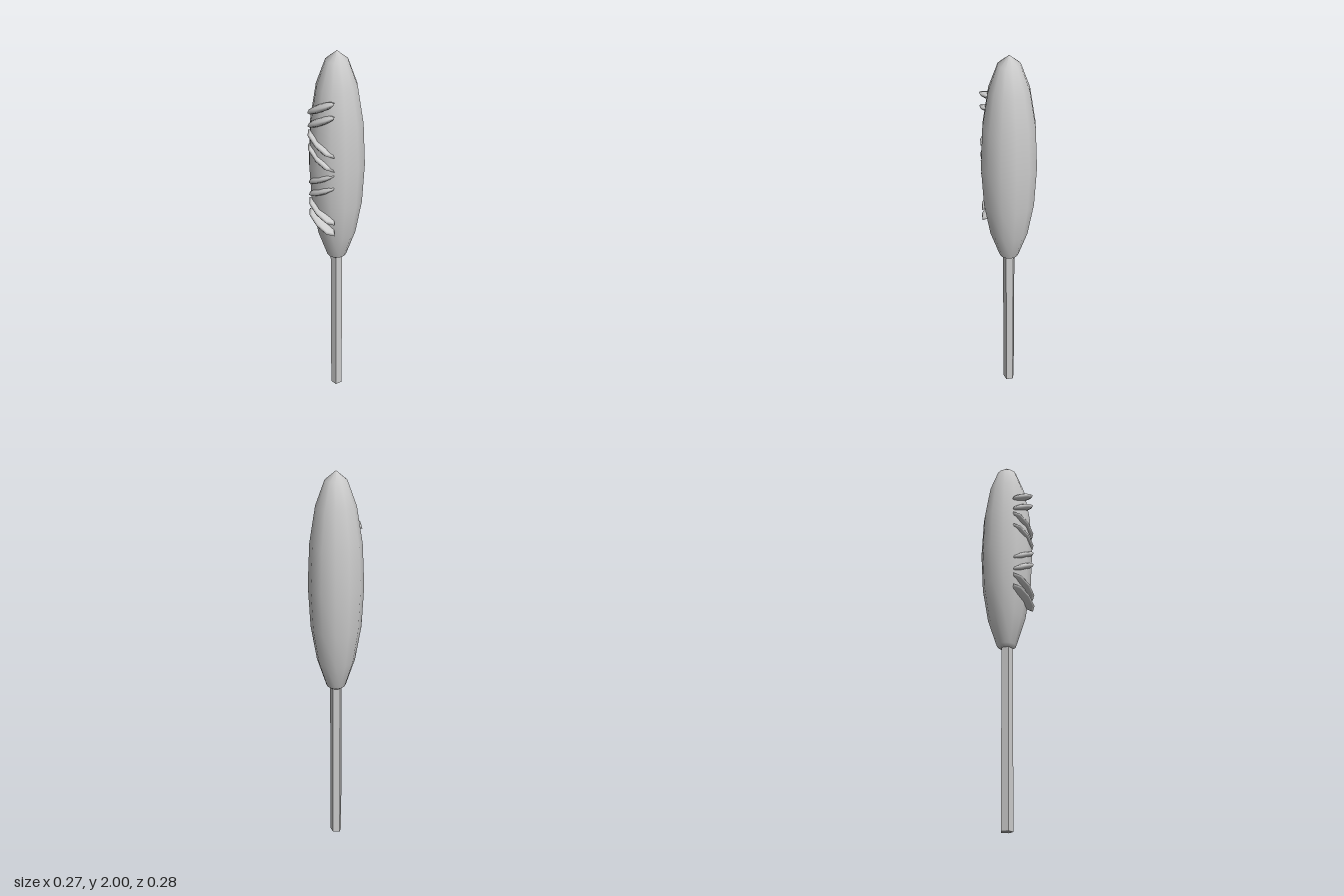
import * as THREE from 'three';

export function createModel() {
  const group = new THREE.Group();
  const grey = new THREE.MeshStandardMaterial({ color: 0xcccccc });
  const greyFlat = new THREE.MeshStandardMaterial({ color: 0xcccccc, flatShading: true });
  const axisZ = -0.0065; // common axis of batter and stick

  const add = (name, geometry, material, x, y, z) => {
    const mesh = new THREE.Mesh(geometry, material);
    mesh.name = name;
    mesh.position.set(x, y, z);
    group.add(mesh);
    return mesh;
  };

  // Batter: long twelve-sided ellipsoid with a blunt lower end
  const rings = 8, halfHeight = 0.55, radius = 0.135;
  const profile = [new THREE.Vector2(0, -0.548), new THREE.Vector2(0.03, -0.547), new THREE.Vector2(0.049, -0.533)];
  for (let i = 2; i <= rings; i++) {
    const a = (i / rings) * Math.PI;
    profile.push(new THREE.Vector2(i === rings ? 0 : radius * Math.sin(a), -halfHeight * Math.cos(a)));
  }
  add('batter', new THREE.LatheGeometry(profile, 12), grey, 0, 1.45, axisZ);

  // Stick: five-sided, one edge to the back
  const stick = new THREE.CylinderGeometry(0.031, 0.031, 1.0, 5);
  stick.rotateY(Math.PI);
  add('stick', stick, greyFlat, 0, 0.5, axisZ);

  // Sauce: slanted streaks in pairs that zigzag down the front
  const streak = new THREE.SphereGeometry(1, 8, 6);
  streak.scale(0.093, 0.018, 0.039);
  const heights = [1.763, 1.697, 1.585, 1.513, 1.402, 1.334, 1.219, 1.156];
  heights.forEach((y, i) => {
    const slant = Math.floor(i / 2) % 2 === 0 ? 1 : -1;
    add('sauceStreak' + (i + 1), streak, grey, 0, y, 0.1).rotation.z = slant * Math.PI / 6;
  });

  return group;
}
